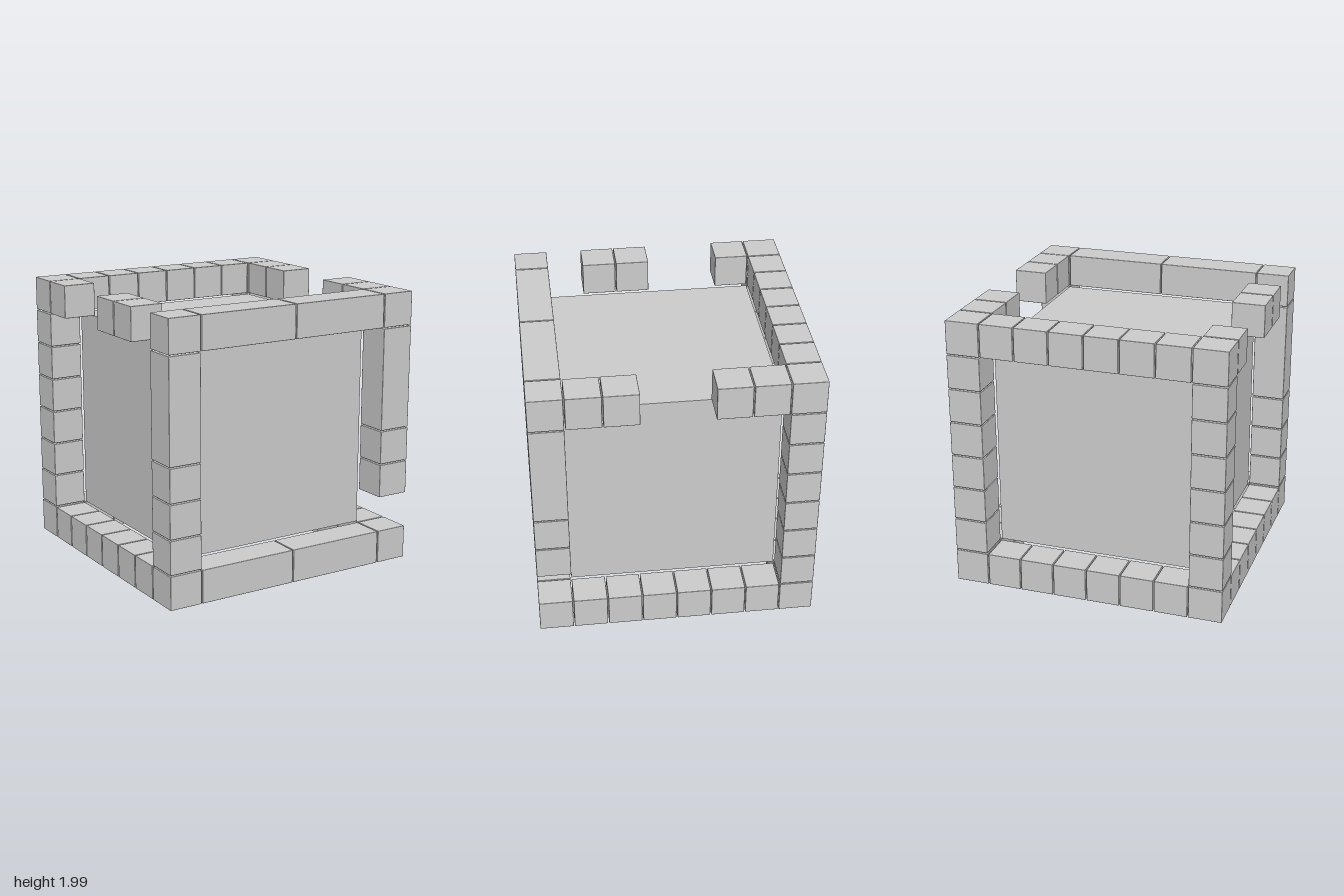
import * as THREE from 'three';
import { RoundedBoxGeometry } from 'three/addons/geometries/RoundedBoxGeometry.js';

const CELL = 0.25; // grid pitch, eight cells along every edge
const GAP = 0.008; // joint between neighbouring blocks
const LAST = 7;

export function createModel() {
  const model = new THREE.Group();
  const material = new THREE.MeshStandardMaterial({ color: 0xcccccc });

  // Plain core that the frame of blocks surrounds
  const core = new THREE.Mesh(new THREE.BoxGeometry(1.492, 1.492, 1.492), material);
  core.name = 'core';
  model.add(core);

  // Block filling whole grid cells, starting at cell `start`, `cells` long per axis
  function addBlock(parent, name, start, cells = [1, 1, 1]) {
    const size = cells.map((n) => n * CELL - GAP);
    const block = new THREE.Mesh(new RoundedBoxGeometry(...size, 1, 0.004), material);
    block.position.set(...start.map((s, i) => (s + cells[i] / 2) * CELL - 1));
    block.name = name;
    parent.add(block);
  }

  // Run of blocks along one axis; each entry is [first cell, length]
  function addEdge(name, axis, fixed, pieces) {
    const edge = new THREE.Group();
    edge.name = name;
    for (const [first, length] of pieces) {
      const start = [...fixed];
      const cells = [1, 1, 1];
      start[axis] = first;
      cells[axis] = length;
      addBlock(edge, length > 1 ? 'longBlock' : 'cubeBlock', start, cells);
    }
    model.add(edge);
  }

  const cubes = (...list) => list.map((i) => [i, 1]);
  const fullRow = cubes(1, 2, 3, 4, 5, 6);
  const twoLong = [[1, 3], [4, 3]];

  // Corner blocks
  for (const x of [0, LAST])
    for (const y of [0, LAST])
      for (const z of [0, LAST]) addBlock(model, 'cornerBlock', [x, y, z]);

  // Edges across the front and back
  for (const y of [0, LAST]) {
    const level = y ? 'Top' : 'Bottom';
    addEdge('front' + level + 'Edge', 0, [0, y, LAST], twoLong);
    addEdge('back' + level + 'Edge', 0, [0, y, 0], fullRow);
  }

  // Side edges; the upper ones have missing blocks
  addEdge('leftBottomEdge', 2, [LAST, 0, 0], fullRow);
  addEdge('rightBottomEdge', 2, [0, 0, 0], fullRow);
  addEdge('leftTopEdge', 2, [LAST, LAST, 0], cubes(1, 2, 5, 6));
  addEdge('rightTopEdge', 2, [0, LAST, 0], cubes(1, 4, 5));

  // Posts; the front left one lacks its lowest block
  addEdge('backLeftPost', 1, [LAST, 0, 0], fullRow);
  addEdge('backRightPost', 1, [0, 0, 0], fullRow);
  addEdge('frontRightPost', 1, [0, 0, LAST], [...cubes(1, 2, 3), [4, 3]]);
  addEdge('frontLeftPost', 1, [LAST, 0, LAST], [...cubes(2, 3), [4, 3]]);

  // Stand on the ground
  model.children.forEach((part) => { part.position.y += 0.997; });
  return model;
}
